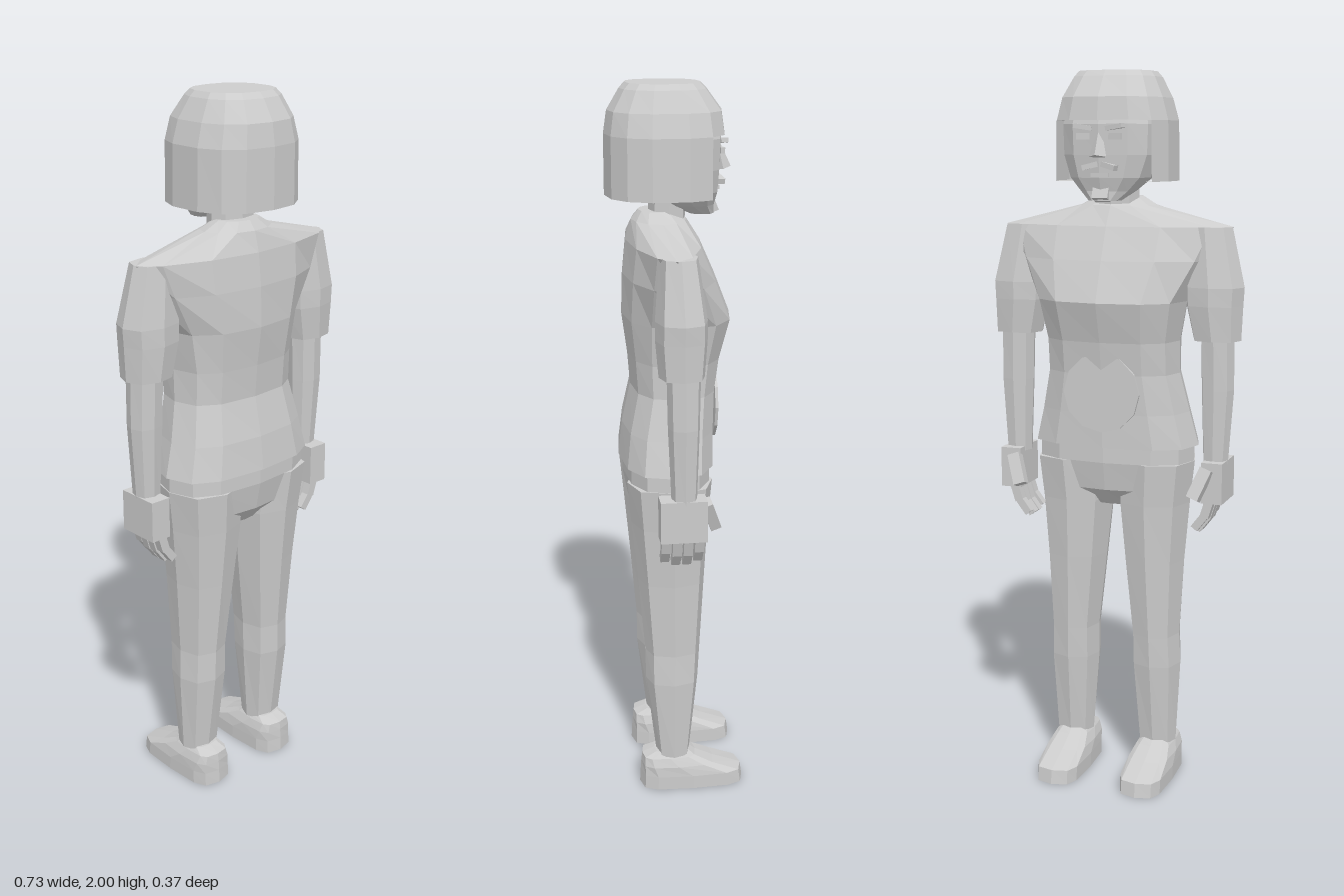
import * as THREE from 'three';

const grey = new THREE.MeshStandardMaterial({ color: 0xcccccc, flatShading: true, side: THREE.DoubleSide });
grey.name = 'plain grey';

// Point on a rounded cross-section; p < 1 is boxier, p > 1 more pointed.
function ringPoint([y, x, z, rx, rz, p = 0.8], t) {
  const pw = (v) => Math.sign(v) * Math.pow(Math.abs(v) < 1e-6 ? 0 : Math.abs(v), p);
  return [x + rx * pw(Math.sin(t)), y, z + rz * pw(Math.cos(t))];
}

// Skin rings listed from top to bottom: [y, x, z, rx, rz, p].
function loft(rings, n, { top = true, bottom = true, skip = () => false } = {}) {
  const pos = [];
  const at = (i, j) => ringPoint(rings[i], (j / n) * Math.PI * 2);
  const tri = (a, b, c) => pos.push(...a, ...b, ...c);
  const last = rings.length - 1;
  for (let j = 0; j < n; j++) {
    for (let i = 0; i < last; i++) {
      if (skip(i, j)) continue;
      tri(at(i, j), at(i + 1, j), at(i + 1, j + 1));
      tri(at(i, j), at(i + 1, j + 1), at(i, j + 1));
    }
    const mid = (r) => [r[1], r[0], r[2]];
    if (top) tri(mid(rings[0]), at(0, j), at(0, j + 1));
    if (bottom) tri(mid(rings[last]), at(last, j + 1), at(last, j));
  }
  const g = new THREE.BufferGeometry();
  g.setAttribute('position', new THREE.Float32BufferAttribute(pos, 3));
  g.computeVertexNormals();
  return g;
}

export function createModel() {
  const model = new THREE.Group();
  const add = (name, geo, parent = model) => {
    const m = new THREE.Mesh(geo, grey);
    m.name = name;
    parent.add(m);
    return m;
  };
  const box = (name, size, at, rot = [0, 0, 0]) => {
    const m = add(name, new THREE.BoxGeometry(...size));
    m.position.set(...at);
    m.rotation.set(...rot);
    return m;
  };

  // Shirt body, from collar to hem
  add('shirt', loft([
    [1.67, 0, 0.045, 0.065, 0.05, 1],
    [1.645, 0, 0.04, 0.11, 0.075, 1],
    [1.59, 0, 0.03, 0.33, 0.1, 1.15],
    [1.5, 0, 0.015, 0.28, 0.125, 0.95],
    [1.39, 0, -0.005, 0.212, 0.148],
    [1.28, 0, 0.003, 0.19, 0.125, 0.75],
    [1.19, 0, 0.006, 0.19, 0.115, 0.75],
    [1.08, 0, 0.02, 0.215, 0.125, 0.75],
    [0.985, 0, 0.026, 0.24, 0.13, 0.75],
  ], 12));

  // Plain thin patch on the belly
  const patch = add('bellyPatch', new THREE.CylinderGeometry(0.11, 0.11, 0.008, 12));
  patch.position.set(0, 1.14, -0.107);
  patch.rotation.x = Math.PI / 2;

  // Trouser seat
  add('trouserSeat', loft([
    [0.995, 0, 0.025, 0.228, 0.12, 0.75],
    [0.94, 0, 0.025, 0.228, 0.12, 0.75],
    [0.86, 0, 0.024, 0.205, 0.105, 0.8],
    [0.81, 0, 0.024, 0.1, 0.06, 0.8],
  ], 12));

  for (const s of [1, -1]) {
    // Trouser leg
    add('leg', loft([
      [0.94, s * 0.122, 0.025, 0.108, 0.118],
      [0.82, s * 0.115, 0.024, 0.102, 0.107],
      [0.65, s * 0.117, 0.021, 0.086, 0.094],
      [0.43, s * 0.123, 0.018, 0.068, 0.078],
      [0.34, s * 0.125, 0.02, 0.07, 0.075],
      [0.1, s * 0.128, 0.018, 0.055, 0.048],
    ], 8));

    // Shoe
    add('shoe', loft([
      [0.11, s * 0.127, 0.022, 0.042, 0.05, 0.6],
      [0.095, s * 0.127, 0.03, 0.052, 0.078, 0.55],
      [0.07, s * 0.127, 0.005, 0.062, 0.106, 0.55],
      [0.04, s * 0.127, -0.035, 0.065, 0.148, 0.55],
      [0, s * 0.127, -0.037, 0.065, 0.152, 0.55],
    ], 12));

    // Sleeve and arm
    add('sleeve', loft([
      [1.59, s * 0.265, 0.02, 0.065, 0.05],
      [1.43, s * 0.284, 0.015, 0.083, 0.068],
      [1.38, s * 0.284, 0.015, 0.08, 0.068],
      [1.285, s * 0.293, 0.015, 0.067, 0.06],
    ], 8));
    add('arm', loft([
      [1.3, s * 0.295, 0.01, 0.047, 0.045],
      [1.15, s * 0.298, 0.01, 0.046, 0.042],
      [0.94, s * 0.295, 0.008, 0.035, 0.034],
    ], 8));

    // Hand: palm, four curled fingers and thumb
    box('palm', [0.06, 0.115, 0.125], [s * 0.3, 0.895, 0.012]);
    for (let i = 0; i < 4; i++) {
      const z = 0.056 - i * 0.03;
      const drop = i === 1 || i === 2 ? 0.01 : 0;
      box('finger', [0.025, 0.06 + drop, 0.025], [s * 0.287, 0.825 - drop / 2, z], [0, 0, -s * 0.3]);
      box('fingertip', [0.022, 0.05, 0.024], [s * 0.265, 0.782 - drop, z], [0, 0, -s * 0.65]);
    }
    box('thumb', [0.035, 0.09, 0.03], [s * 0.272, 0.895, -0.066], [0.35, 0, -s * 0.35]);
  }

  // Neck and head
  add('neck', loft([
    [1.75, 0, 0.015, 0.065, 0.05],
    [1.6, 0, 0.02, 0.065, 0.05],
  ], 8));
  add('head', loft([
    [1.94, 0, 0.01, 0.115, 0.115],
    [1.86, 0, 0, 0.135, 0.128],
    [1.78, 0, -0.005, 0.132, 0.12],
    [1.72, 0, -0.02, 0.11, 0.1],
    [1.685, 0, -0.045, 0.075, 0.065],
    [1.66, 0, -0.075, 0.045, 0.035],
  ], 12));

  // Bobbed hair, open at the face
  const hair = [
    [2, 0, 0.028, 0.105, 0.1],
    [1.985, 0, 0.028, 0.118, 0.115],
    [1.93, 0, 0.024, 0.146, 0.152],
    [1.87, 0, 0.024, 0.163, 0.161],
    [1.71, 0, 0.024, 0.165, 0.161],
    [1.71, 0, 0.024, 0.12, 0.12],
  ];
  add('hair', loft(hair, 14, { bottom: false, skip: (i, j) => i >= 3 && j >= 5 && j <= 8 }));

  // Face: brows, eyes, nose, moustache, mouth and goatee
  for (const s of [1, -1]) {
    box('brow', [0.05, 0.012, 0.02], [s * 0.045, 1.852, -0.122], [0, s * 0.2, s * 0.15]);
    box('eye', [0.036, 0.016, 0.012], [s * 0.045, 1.828, -0.12], [0, s * 0.2, 0]);
    box('moustacheHalf', [0.05, 0.014, 0.02], [s * 0.024, 1.752, -0.117], [0, s * 0.25, -s * 0.25]);
  }
  const nose = add('nose', new THREE.CylinderGeometry(0.008, 0.024, 0.065, 4));
  nose.position.set(0, 1.807, -0.125);
  nose.rotation.x = 0.2;
  box('mouth', [0.05, 0.01, 0.012], [0, 1.728, -0.115]);
  box('goatee', [0.045, 0.035, 0.03], [0, 1.678, -0.1], [0.4, 0, 0]);

  return model;
}
